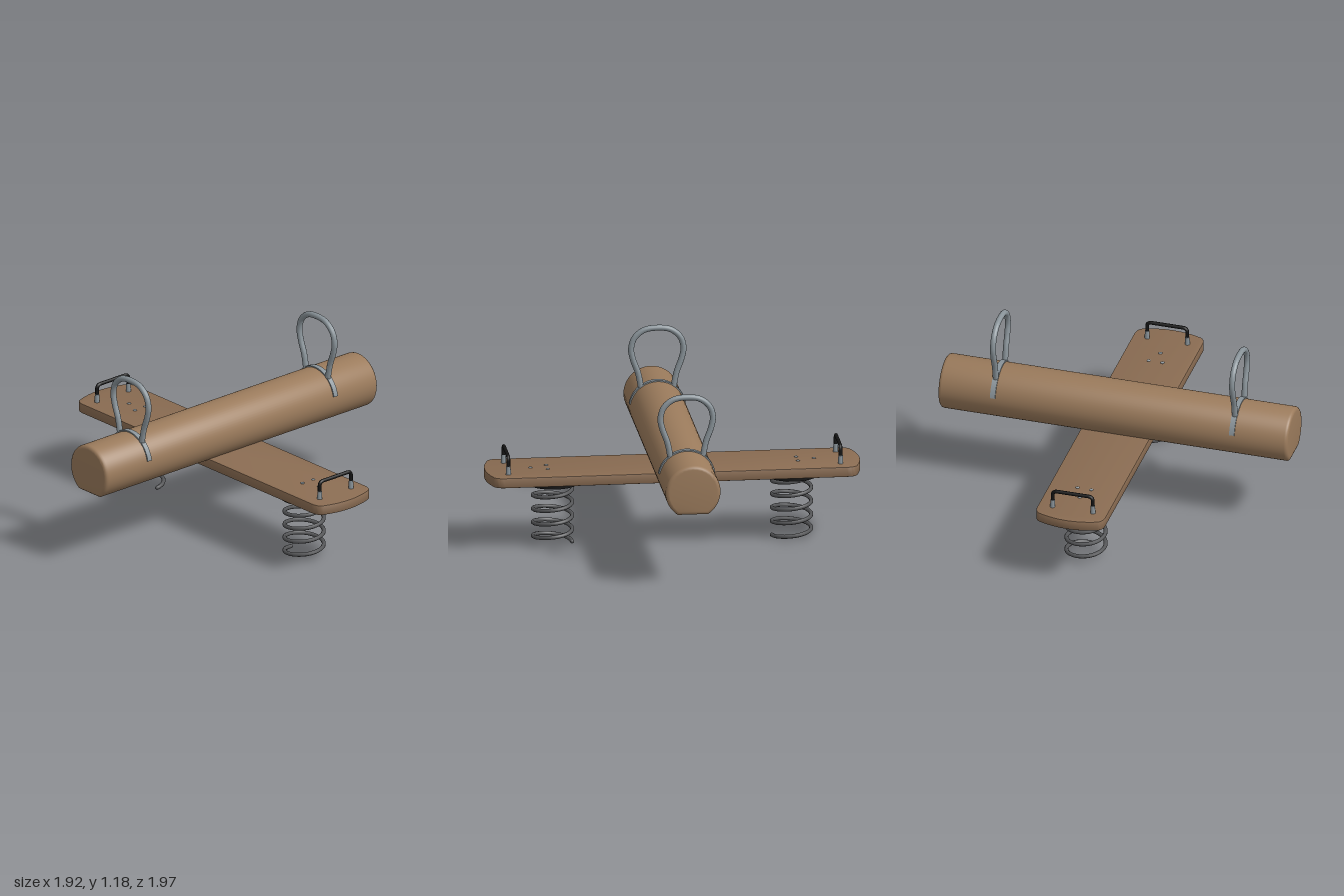
import * as THREE from 'three';
import { toCreasedNormals } from 'three/addons/utils/BufferGeometryUtils.js';

const mat = (color) => new THREE.MeshStandardMaterial({ color });
const V = (x, y, z) => new THREE.Vector3(x, y, z);

const LOG_R = 0.174, LOG_Y = 0.64, LOG_HALF = 1.145;
const BOARD_TOP = 0.505, BOARD_BOTTOM = 0.44;

export function createModel() {
  const logWood = mat(0x9b7b5c), boardWood = mat(0x8a6c52);
  const steel = mat(0x8a949a), springSteel = mat(0x555658), black = mat(0x141414);

  const model = new THREE.Group();
  model.name = 'crossSpringRocker';
  // Local x runs along the log, local z along the board
  const body = new THREE.Group();
  body.name = 'body';
  body.rotation.y = THREE.MathUtils.degToRad(42);
  model.add(body);

  const add = (parent, name, geometry, material, x = 0, y = 0, z = 0) => {
    const mesh = new THREE.Mesh(geometry, material);
    mesh.name = name;
    mesh.position.set(x, y, z);
    parent.add(mesh);
    return mesh;
  };

  // Log: round section with a flat underside and softened ends
  const cut = -Math.asin(0.145 / LOG_R);
  const section = new THREE.Shape();
  section.absarc(0, 0, LOG_R, cut, Math.PI - cut, false);
  section.closePath();
  const bevel = 0.022;
  const logGeo = new THREE.ExtrudeGeometry(section, {
    depth: 2 * (LOG_HALF - bevel), curveSegments: 28, steps: 1,
    bevelSize: bevel, bevelOffset: -bevel, bevelThickness: bevel, bevelSegments: 3,
  });
  logGeo.translate(0, 0, -(LOG_HALF - bevel));
  logGeo.rotateY(Math.PI / 2);
  add(body, 'log', toCreasedNormals(logGeo, 0.6), logWood, 0, LOG_Y, 0);

  // Board: long plank with bowed ends and rounded corners
  const w = 0.225;
  const plan = new THREE.Shape();
  plan.moveTo(-w, -1.08);
  plan.quadraticCurveTo(-w, -1.135, -0.19, -1.152);
  plan.quadraticCurveTo(0, -1.225, 0.19, -1.152);
  plan.quadraticCurveTo(w, -1.135, w, -1.08);
  plan.lineTo(w, 1.08);
  plan.quadraticCurveTo(w, 1.135, 0.19, 1.152);
  plan.quadraticCurveTo(0, 1.225, -0.19, 1.152);
  plan.quadraticCurveTo(-w, 1.135, -w, 1.08);
  const b = 0.006;
  const boardGeo = new THREE.ExtrudeGeometry(plan, {
    depth: BOARD_TOP - BOARD_BOTTOM - 2 * b, curveSegments: 8,
    bevelSize: b, bevelOffset: -b, bevelThickness: b, bevelSegments: 2,
  });
  boardGeo.rotateX(Math.PI / 2);
  add(body, 'board', toCreasedNormals(boardGeo, 0.6), boardWood, 0, BOARD_TOP - b, 0);

  // Coil spring path
  class Helix extends THREE.Curve {
    getPoint(t, target = V(0, 0, 0)) {
      const a = -Math.PI / 2 - t * 4.45 * Math.PI * 2;
      return target.set(0.124 * Math.cos(a), 0.013 + t * 0.395, 0.124 * Math.sin(a));
    }
  }
  const helix = new Helix();
  const springGeo = new THREE.TubeGeometry(helix, 180, 0.013, 8);

  // Foot handle path, rising from two sockets
  const grip = new THREE.CurvePath();
  const h = 0.132, top = 0.62, c = 0.03;
  grip.add(new THREE.LineCurve3(V(-h, 0.54, 0), V(-h, top - c, 0)));
  grip.add(new THREE.QuadraticBezierCurve3(V(-h, top - c, 0), V(-h, top, 0), V(-h + c, top, 0)));
  grip.add(new THREE.LineCurve3(V(-h + c, top, 0), V(h - c, top, 0)));
  grip.add(new THREE.QuadraticBezierCurve3(V(h - c, top, 0), V(h, top, 0), V(h, top - c, 0)));
  grip.add(new THREE.LineCurve3(V(h, top - c, 0), V(h, 0.54, 0)));
  const gripGeo = new THREE.TubeGeometry(grip, 60, 0.012, 8);

  // Both board ends: spring, mounting plate, bolts and handle
  for (const [side, turn] of [['front', 0], ['back', Math.PI]]) {
    const end = new THREE.Group();
    end.name = side + 'End';
    end.rotation.y = turn;
    body.add(end);

    const spring = add(end, 'spring', springGeo, springSteel, 0, 0, 0.757);
    for (const t of [0, 1]) {
      const p = helix.getPoint(t);
      add(spring, 'springTip', new THREE.SphereGeometry(0.013, 8, 6), springSteel, p.x, p.y, p.z);
    }
    add(end, 'springPlate', new THREE.CylinderGeometry(0.168, 0.168, 0.035, 32), black, 0, 0.4225, 0.757);

    for (const [x, z] of [[0, 0.898], [0.045, 0.792], [-0.045, 0.792]]) {
      const bolt = add(end, 'bolt', new THREE.SphereGeometry(0.013, 10, 6), steel, x, BOARD_TOP, z);
      bolt.scale.y = 0.5;
    }

    add(end, 'footHandle', gripGeo, black, 0, 0, 1.052);
    for (const x of [-h, h]) {
      add(end, 'handleSocket', new THREE.CylinderGeometry(0.014, 0.017, 0.055, 12), steel, x, 0.53, 1.052);
    }
  }

  // Hand hoop: pear-shaped loop across the log
  const half = [[0.103, 0.775], [0.122, 0.87], [0.154, 0.96], [0.166, 1.03], [0.145, 1.1], [0.085, 1.15]];
  const loop = [
    ...half.map(([z, y]) => V(0, y, z)),
    V(0, 1.163, 0),
    ...half.map(([z, y]) => V(0, y, -z)).reverse(),
  ];
  const hoopGeo = new THREE.TubeGeometry(new THREE.CatmullRomCurve3(loop), 72, 0.019, 12);

  // Strap: thin curved band lying over the top of the log
  const a0 = Math.asin(0.03 / LOG_R), outer = LOG_R + 0.008;
  const band = new THREE.Shape();
  band.absarc(0, 0, outer, a0, Math.PI - a0, false);
  band.absarc(0, 0, LOG_R - 0.006, Math.PI - a0, a0, true);
  band.closePath();
  const bandGeo = new THREE.ExtrudeGeometry(band, { depth: 0.034, curveSegments: 24, bevelEnabled: false });
  bandGeo.translate(0, 0, -0.017);
  bandGeo.rotateY(Math.PI / 2);
  const strapGeo = toCreasedNormals(bandGeo, 0.6);

  for (const [side, x] of [['left', 0.784], ['right', -0.784]]) {
    add(body, side + 'HandHoop', hoopGeo, steel, x, 0, 0);
    add(body, side + 'HoopStrap', strapGeo, steel, x, LOG_Y, 0);
  }
  return model;
}
